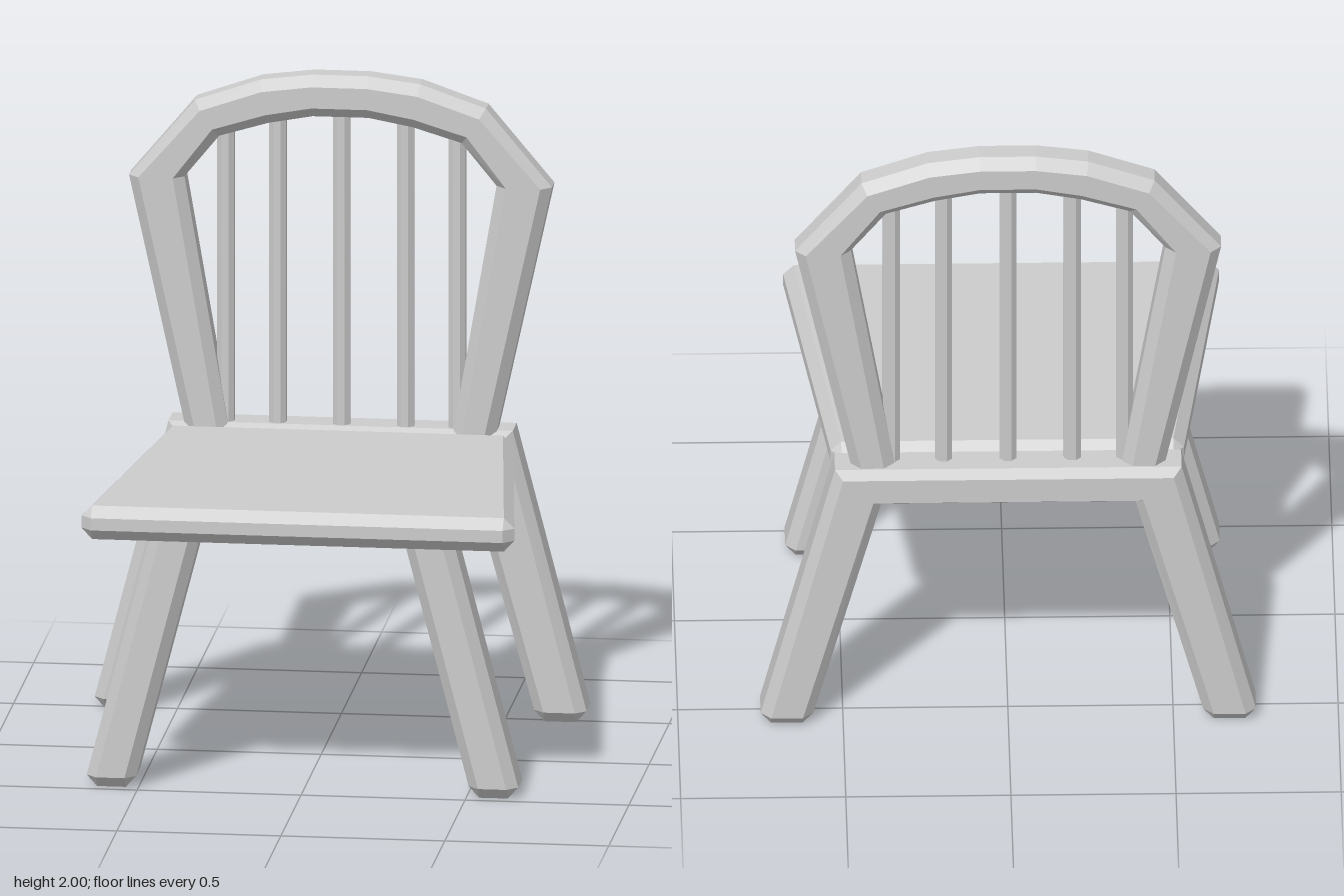
import * as THREE from 'three';

const wood = new THREE.MeshStandardMaterial({ color: 0xcccccc, flatShading: true });
wood.name = 'plain wood';

// Closed solid through rings of equal point count, with flat end caps
function loft(rings, name) {
  const tris = [];
  const n = rings[0].length;
  for (let r = 0; r < rings.length - 1; r++) {
    const a = rings[r], b = rings[r + 1];
    for (let i = 0; i < n; i++) {
      const j = (i + 1) % n;
      tris.push([a[i], a[j], b[j]], [a[i], b[j], b[i]]);
    }
  }
  const first = rings[0], last = rings[rings.length - 1];
  for (let i = 1; i < n - 1; i++) {
    tris.push([first[0], first[i + 1], first[i]], [last[0], last[i], last[i + 1]]);
  }
  // Signed volume decides which way the faces must wind
  const volume = tris.reduce((s, [a, b, c]) => s + a.dot(b.clone().cross(c)), 0);
  const points = tris.flatMap(([a, b, c]) => (volume < 0 ? [a, c, b] : [a, b, c]));
  const geometry = new THREE.BufferGeometry().setFromPoints(points);
  geometry.computeVertexNormals();
  const mesh = new THREE.Mesh(geometry, wood);
  mesh.name = name;
  return mesh;
}

// Chamfered bar section between an outer and an inner point, from z0 to z1
function section([ox, oy], [ix, iy], z0, z1, chamfer) {
  const c = chamfer / Math.hypot(ox - ix, oy - iy);
  const at = (t, z) => new THREE.Vector3(ix + (ox - ix) * t, iy + (oy - iy) * t, z);
  return [
    at(c, z0), at(1 - c, z0), at(1, z0 + chamfer), at(1, z1 - chamfer),
    at(1 - c, z1), at(c, z1), at(0, z1 - chamfer), at(0, z0 + chamfer),
  ];
}

const C = 0.032;
const mirror = (stations) =>
  stations.concat(stations.map((s) => s.map(([x, y]) => [-x, y])).reverse());

// Bevelled foot: a small square at the floor below the full section
const foot = (outer, inner, side, z0, z1) =>
  section([side * (outer - C), 0], [side * (inner + C), 0], z0 + C, z1 - C, 0);

// Seat outline; corners are cut off at the sides and sharp on the inset faces
function seatRing(y, inset) {
  const corners = [[0.66, 0.608, 1], [0.535, -0.45, -1]];
  const half = corners.flatMap(([x, z, s]) => {
    const a = [x, z - s * C], b = [x - C, z];
    if (inset) return [[x - C, z - s * C], [x - C, z - s * C]];
    return s > 0 ? [b, a] : [a, b];
  });
  const all = half.concat(half.map(([x, z]) => [-x, z]).reverse());
  return all.map(([x, z]) => new THREE.Vector3(x, y, z));
}

export function createModel() {
  const chair = new THREE.Group();
  chair.name = 'chair';

  chair.add(loft([
    seatRing(0.8, true), seatRing(0.835, false),
    seatRing(0.873, false), seatRing(0.905, true),
  ], 'seat'));

  // Splayed front legs
  for (const side of [1, -1]) {
    const z0 = 0.333, z1 = 0.497;
    chair.add(loft([
      foot(0.658, 0.507, side, z0, z1),
      section([side * 0.658, 0.035], [side * 0.507, 0.035], z0, z1, C),
      section([side * 0.455, 0.82], [side * 0.304, 0.82], z0, z1, C),
    ], side > 0 ? 'frontLegLeft' : 'frontLegRight'));
  }

  // Back legs joined by a crossbar in one mitred frame
  const b0 = -0.61, b1 = -0.45;
  const frame = mirror([
    [[0.75, 0.035], [0.59, 0.035]],
    [[0.525, 0.905], [0.385, 0.783]],
  ]).map(([o, i]) => section(o, i, b0, b1, C));
  chair.add(loft([
    foot(0.75, 0.59, 1, b0, b1), ...frame, foot(0.75, 0.59, -1, b0, b1),
  ], 'backLegFrame'));

  // Arched backrest hoop
  const hoop = mirror([
    [[0.465, 0.85], [0.335, 0.85]],
    [[0.645, 1.67], [0.476, 1.67]],
    [[0.444, 1.91], [0.37, 1.8]],
    [[0.243, 1.98], [0.22, 1.845]],
    [[0.085, 2.0], [0.085, 1.87]],
  ]).map(([o, i]) => section(o, i, -0.573, -0.446, C));
  chair.add(loft(hoop, 'backrestHoop'));

  // Spindles from crossbar to hoop
  for (const [x, top] of [[0, 1.9], [0.195, 1.88], [-0.195, 1.88], [0.353, 1.84], [-0.353, 1.84]]) {
    const spindle = new THREE.Mesh(new THREE.CylinderGeometry(0.028, 0.028, top - 0.86, 8), wood);
    spindle.position.set(x, (top + 0.86) / 2, -0.51);
    spindle.rotation.y = Math.PI / 8;
    spindle.name = 'spindle';
    chair.add(spindle);
  }
  return chair;
}
